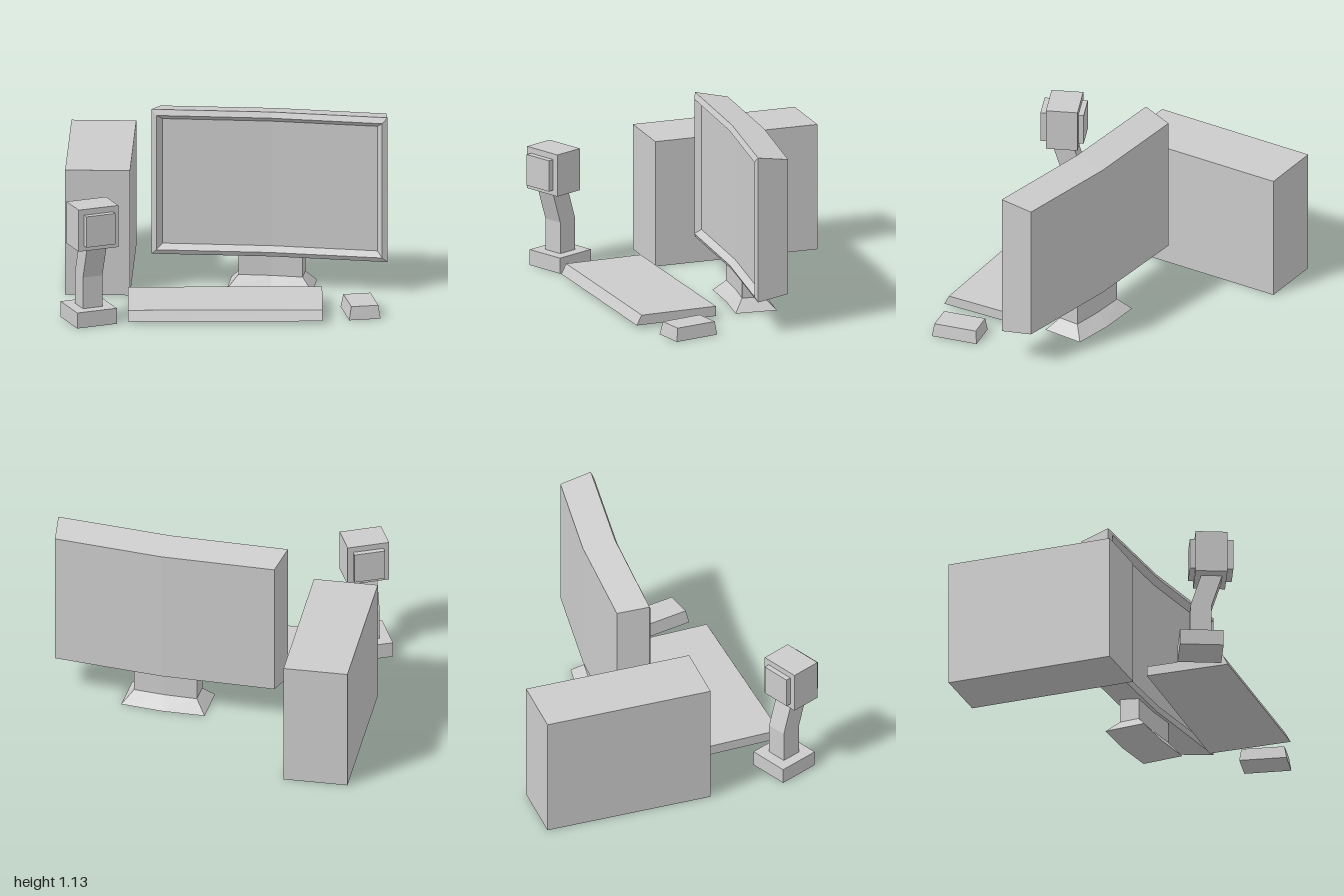
import * as THREE from 'three';

const material = new THREE.MeshStandardMaterial({ color: 0xcccccc, flatShading: true });

// Skins a stack of equal-length rings and closes both ends.
// Rings run counter-clockwise seen from the last ring's side, one edge out and the opposite edge back.
function loft(name, rings) {
  const n = rings[0].length, pos = [];
  const quad = (a, b, c, d) => [a, b, c, a, c, d].forEach((p) => pos.push(...p));
  for (let r = 0; r + 1 < rings.length; r++) {
    for (let i = 0; i < n; i++) {
      const j = (i + 1) % n;
      quad(rings[r][i], rings[r][j], rings[r + 1][j], rings[r + 1][i]);
    }
  }
  const first = rings[0], last = rings[rings.length - 1];
  for (let i = 0; i < n / 2 - 1; i++) {
    const ids = [i, i + 1, n - 2 - i, n - 1 - i];
    quad(...ids.map((k) => last[k]));
    quad(...ids.reverse().map((k) => first[k]));
  }
  const geometry = new THREE.BufferGeometry();
  geometry.setAttribute('position', new THREE.Float32BufferAttribute(pos, 3));
  geometry.computeVertexNormals();
  const mesh = new THREE.Mesh(geometry, material);
  mesh.name = name;
  return mesh;
}

// Horizontal ring: [x, z] corners at height y
const flat = (y, pts) => pts.map(([x, z]) => [x, y, z]);

// Upright ring: [x, z] columns from left to right, spanning y0 to y1
const upright = (y0, y1, cols) => [
  ...cols.map(([x, z]) => [x, y0, z]),
  ...[...cols].reverse().map(([x, z]) => [x, y1, z]),
];

function box(name, w, h, d, x, y, z) {
  const mesh = new THREE.Mesh(new THREE.BoxGeometry(w, h, d), material);
  mesh.name = name;
  mesh.position.set(x, y, z);
  return mesh;
}

function createMonitor() {
  const monitor = new THREE.Group();
  monitor.name = 'monitor';

  // Bent casing: back, outer rim, bezel ridge, recessed screen
  monitor.add(loft('screenCasing', [
    upright(0.235, 1.10, [[-0.415, -0.258], [0.30, -0.23], [0.98, -0.138]]),
    upright(0.205, 1.135, [[-0.465, -0.062], [0.275, -0.03], [0.995, 0.065]]),
    upright(0.235, 1.10, [[-0.435, -0.046], [0.273, -0.014], [0.963, 0.078]]),
    upright(0.268, 1.07, [[-0.398, -0.08], [0.277, -0.05], [0.932, 0.036]]),
  ]));

  // Flared foot running up into the neck
  const neck = [[0.07, -0.068], [0.275, -0.055], [0.468, -0.025], [0.48, -0.16], [0.285, -0.186], [0.08, -0.197]];
  const foot = [[0, -0.005], [0.27, 0.005], [0.53, 0.04], [0.55, -0.223], [0.29, -0.26], [0.02, -0.268]];
  monitor.add(loft('monitorStand', [flat(0, foot), flat(0.075, neck), flat(0.24, neck)]));
  return monitor;
}

function createSpeaker() {
  const speaker = new THREE.Group();
  speaker.name = 'speaker';
  speaker.add(box('speakerBase', 0.264, 0.1, 0.27, 0, 0.05, 0));

  // Neck that leans forward above its bend
  const square = (y, z) => flat(y, [[-0.065, z + 0.065], [0.065, z + 0.065], [0.065, z - 0.065], [-0.065, z - 0.065]]);
  speaker.add(loft('speakerNeck', [square(0.1, 0), square(0.3, 0), square(0.5, 0.064)]));

  // Head with raised panels on front and back
  speaker.add(box('speakerHead', 0.264, 0.268, 0.197, 0, 0.635, 0.06));
  speaker.add(box('speakerFrontPanel', 0.193, 0.198, 0.04, 0, 0.633, 0.177));
  speaker.add(box('speakerBackPanel', 0.193, 0.198, 0.04, 0, 0.633, -0.052));
  speaker.position.set(-0.825, 0, 0.69);
  speaker.rotation.y = 0.43;
  return speaker;
}

export function createModel() {
  const model = new THREE.Group();
  model.name = 'desktopComputer';
  model.add(box('computerTower', 0.4, 0.803, 1.065, -0.79, 0.4015, -0.38));
  model.add(createMonitor(), createSpeaker());

  // Slab with a sloping front edge
  model.add(loft('keyboard', [
    flat(0.02, [[-0.578, 0.775], [0.618, 0.723], [0.597, 0.195], [-0.6, 0.247]]),
    flat(0.083, [[-0.579, 0.743], [0.617, 0.69], [0.597, 0.195], [-0.6, 0.247]]),
  ]));

  // Tapered block
  model.add(loft('mouse', [
    flat(0, [[0.78, 0.633], [0.972, 0.59], [0.91, 0.303], [0.716, 0.345]]),
    flat(0.083, [[0.792, 0.615], [0.957, 0.58], [0.9, 0.315], [0.733, 0.352]]),
  ]));
  return model;
}
